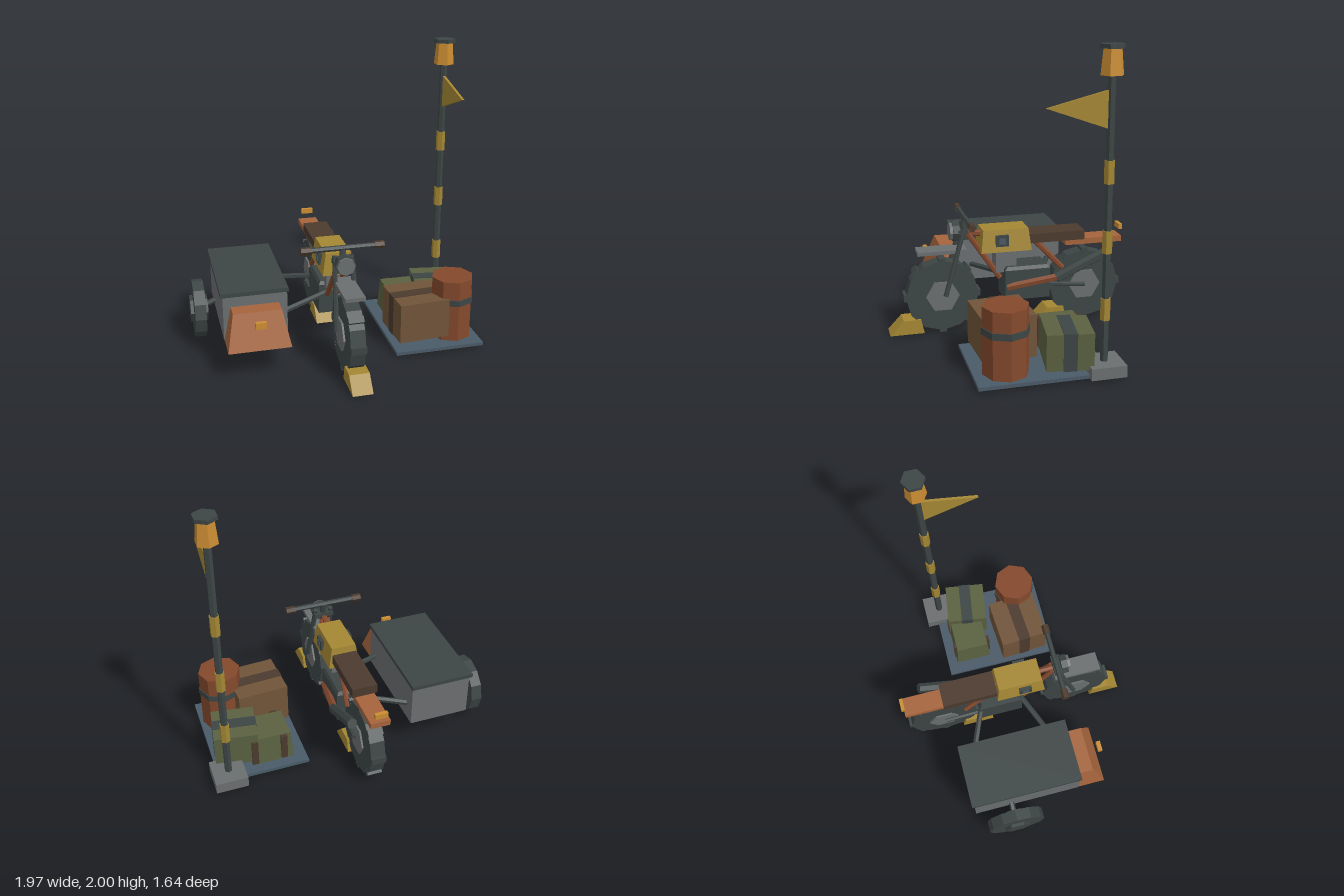
import * as THREE from 'three';

const colours = {
  darkSteel: 0x3d4545, greySteel: 0x6b6e70, yellow: 0xa48734, copper: 0xa5643c, rust: 0x84492c,
  brown: 0x705439, darkBrown: 0x4c3a2e, green: 0x5a6140, slate: 0x4a5a68, orange: 0xca8c32,
};
const mat = {};
for (const [name, color] of Object.entries(colours)) {
  mat[name] = new THREE.MeshStandardMaterial({ color });
  mat[name].name = name;
}

// Faceted mesh
function add(parent, name, geo, material, x = 0, y = 0, z = 0) {
  const g = geo.index ? geo.toNonIndexed() : geo;
  g.computeVertexNormals();
  const m = new THREE.Mesh(g, mat[material]);
  m.name = name;
  m.position.set(x, y, z);
  parent.add(m);
  return m;
}

// Box given by its limits
function block(parent, name, material, x0, x1, y0, y1, z0, z1) {
  return add(parent, name, new THREE.BoxGeometry(x1 - x0, y1 - y0, z1 - z0), material,
    (x0 + x1) / 2, (y0 + y1) / 2, (z0 + z1) / 2);
}

// Tapered box: bottom and top rectangles as [x0, x1, z0, z1]
function taper(parent, name, material, y0, y1, bottom, top) {
  const g = new THREE.BoxGeometry(1, 1, 1), p = g.attributes.position;
  for (let i = 0; i < p.count; i++) {
    const r = p.getY(i) > 0 ? top : bottom;
    p.setXYZ(i, p.getX(i) < 0 ? r[0] : r[1], p.getY(i) > 0 ? y1 : y0, p.getZ(i) < 0 ? r[2] : r[3]);
  }
  return add(parent, name, g, material);
}

// Straight rod between two points
function rod(parent, name, material, a, b, r, sides = 6) {
  const from = new THREE.Vector3(...a), to = new THREE.Vector3(...b);
  const m = add(parent, name, new THREE.CylinderGeometry(r, r, from.distanceTo(to), sides), material);
  m.position.copy(from).add(to).multiplyScalar(0.5);
  m.quaternion.setFromUnitVectors(new THREE.Vector3(0, 1, 0), to.sub(from).normalize());
  return m;
}

function drum(parent, name, material, rTop, rBottom, y0, y1, sides, x = 0, z = 0) {
  return add(parent, name, new THREE.CylinderGeometry(rTop, rBottom, y1 - y0, sides), material, x, (y0 + y1) / 2, z);
}

// Wheel with its axle along x
function wheel(parent, name, x, y, z, r, width, hubR, hubWidth, hubColour, knobs) {
  const g = new THREE.Group();
  g.name = name;
  g.position.set(x, y, z);
  parent.add(g);
  add(g, 'tyre', new THREE.CylinderGeometry(r, r, width, 12).rotateZ(Math.PI / 2), 'darkSteel');
  add(g, 'hub', new THREE.CylinderGeometry(hubR, hubR, hubWidth, 6).rotateZ(Math.PI / 2), hubColour);
  for (let i = 0; i < knobs; i++) {
    const a = i / knobs * Math.PI * 2;
    const k = add(g, 'treadKnob', new THREE.BoxGeometry(width * 1.02, 0.05, 0.045), 'darkSteel',
      0, -Math.cos(a) * (r - 0.012), Math.sin(a) * (r - 0.012));
    k.rotation.x = -a;
  }
}

function buildBike(root) {
  const bike = new THREE.Group();
  bike.name = 'motorcycle';
  bike.position.x = -0.025;
  root.add(bike);

  // Wheels and their chocks
  for (const [name, z] of [['front', 0.457], ['rear', -0.543]]) {
    wheel(bike, name + 'Wheel', 0, 0.265, z, 0.248, 0.1, 0.114, 0.125, 'greySteel', 8);
    taper(bike, name + 'Chock', 'yellow', 0.015, 0.113,
      [-0.067, 0.067, z + 0.13, z + 0.362], [-0.067, 0.067, z + 0.152, z + 0.27]);
  }

  // Fork, fender, headlight and handlebar
  for (const s of [-1, 1])
    rod(bike, 'forkLeg', 'darkSteel', [s * 0.077, 0.27, 0.44], [s * 0.055, 0.745, 0.302], 0.017);
  block(bike, 'frontFender', 'greySteel', -0.066, 0.066, 0.56, 0.585, 0.29, 0.622);
  block(bike, 'forkClamp', 'darkSteel', -0.07, 0.07, 0.69, 0.72, 0.28, 0.345);
  rod(bike, 'headlightHousing', 'darkSteel', [0, 0.7, 0.335], [0, 0.7, 0.38], 0.07, 8);
  rod(bike, 'headlightLens', 'greySteel', [0, 0.7, 0.375], [0, 0.7, 0.4], 0.06, 8);
  rod(bike, 'steeringColumn', 'darkSteel', [0, 0.66, 0.32], [0, 0.795, 0.29], 0.022);
  rod(bike, 'handlebar', 'darkSteel', [-0.25, 0.792, 0.295], [0.25, 0.792, 0.295], 0.018);
  for (const s of [-1, 1])
    rod(bike, 'handGrip', 'darkBrown', [s * 0.212, 0.792, 0.295], [s * 0.277, 0.792, 0.295], 0.026);

  // Frame tubes
  rod(bike, 'topTube', 'rust', [0, 0.685, 0.28], [0, 0.62, -0.2], 0.021);
  for (const s of [-1, 1]) {
    rod(bike, 'downTube', 'rust', [s * 0.02, 0.68, 0.275], [s * 0.045, 0.36, 0.06], 0.019);
    rod(bike, 'rearTube', 'rust', [s * 0.045, 0.61, -0.18], [s * 0.06, 0.4, -0.38], 0.019);
    rod(bike, 'swingArm', 'darkSteel', [s * 0.068, 0.3, -0.2], [s * 0.068, 0.265, -0.543], 0.016);
  }

  // Fuel tank, seat and tail
  taper(bike, 'fuelTank', 'yellow', 0.56, 0.71, [-0.11, 0.11, -0.147, 0.2], [-0.085, 0.085, -0.13, 0.182]);
  for (const s of [-1, 1]) {
    add(bike, 'tankPanel', new THREE.BoxGeometry(0.03, 0.075, 0.088), 'darkSteel', s * 0.1, 0.638, 0.057);
    add(bike, 'tankPanelInset', new THREE.BoxGeometry(0.006, 0.04, 0.045), 'slate', s * 0.117, 0.638, 0.057);
  }
  block(bike, 'seat', 'darkBrown', -0.086, 0.086, 0.6, 0.665, -0.53, -0.142);
  block(bike, 'tail', 'copper', -0.067, 0.067, 0.56, 0.6, -0.805, -0.4);
  block(bike, 'tailLight', 'orange', -0.043, 0.043, 0.64, 0.676, -0.82, -0.795);

  // Engine and exhaust
  block(bike, 'crankcase', 'darkSteel', -0.1, 0.1, 0.21, 0.42, -0.28, 0.035);
  taper(bike, 'crankcaseTop', 'darkSteel', 0.42, 0.442, [-0.1, 0.1, -0.28, 0.035], [-0.085, 0.085, -0.263, 0.018]);
  block(bike, 'engineCylinder', 'greySteel', -0.06, 0.06, 0.4, 0.56, -0.055, 0.09);
  rod(bike, 'exhaustPipe', 'rust', [0.09, 0.3, 0.02], [0.14, 0.365, -0.33], 0.027);
  rod(bike, 'muffler', 'darkSteel', [0.14, 0.355, -0.315], [0.14, 0.52, -0.675], 0.035);
}

function buildSidecar(root) {
  const car = new THREE.Group();
  car.name = 'sidecar';
  root.add(car);
  block(car, 'chest', 'greySteel', -0.81, -0.39, 0.212, 0.517, -0.485, 0.277);
  block(car, 'lid', 'darkSteel', -0.824, -0.38, 0.515, 0.543, -0.503, 0.28);
  taper(car, 'nose', 'copper', 0.218, 0.447, [-0.808, -0.4, 0.27, 0.475], [-0.76, -0.445, 0.27, 0.385]);
  block(car, 'noseLatch', 'orange', -0.632, -0.562, 0.378, 0.42, 0.465, 0.495);
  wheel(car, 'sidecarWheel', -0.928, 0.225, -0.22, 0.2, 0.076, 0.092, 0.12, 'darkSteel', 0);
  rod(car, 'axle', 'darkSteel', [-0.9, 0.235, -0.222], [-0.78, 0.285, -0.222], 0.02);
  rod(car, 'rearStrut', 'darkSteel', [-0.4, 0.325, -0.395], [-0.08, 0.362, -0.262], 0.02);
  rod(car, 'frontStrut', 'darkSteel', [-0.4, 0.325, 0.175], [-0.08, 0.362, 0.035], 0.02);
}

function buildCargo(root) {
  const cargo = new THREE.Group();
  cargo.name = 'cargo';
  root.add(cargo);
  block(cargo, 'basePlate', 'slate', 0.325, 0.945, 0.018, 0.041, -0.415, 0.41);

  // Barrel with a band
  drum(cargo, 'barrel', 'rust', 0.145, 0.145, 0.04, 0.475, 8, 0.778, 0.207);
  drum(cargo, 'barrelBand', 'darkSteel', 0.152, 0.152, 0.302, 0.345, 8, 0.778, 0.207);

  // Crates turned on the plate, each wrapped with a strap
  const crates = [
    ['brownCrate', 'brown', 'darkBrown', 0.53, 0.172, 0.355, 0.345, 0.078, 0.355, 0.065],
    ['greenCrate', 'green', 'darkSteel', 0.778, -0.178, 0.29, 0.29, 0.07, 0.303, -0.145],
  ];
  for (const [name, colour, strap, x, z, w, d, y0, y1, turn] of crates) {
    const g = new THREE.Group();
    g.name = name;
    g.position.set(x, 0, z);
    g.rotation.y = turn;
    cargo.add(g);
    block(g, 'crateBody', colour, -w / 2, w / 2, y0, y1, -d / 2, d / 2);
    block(g, 'crateStrap', strap, -w / 2 - 0.004, w / 2 + 0.004, y0 - 0.003, y1 + 0.004, -0.042, 0.042);
  }

  // Low green case with upright straps
  taper(cargo, 'lowCase', 'green', 0.041, 0.245, [0.41, 0.7, -0.343, -0.078], [0.425, 0.685, -0.328, -0.093]);
  for (const x of [0.477, 0.68])
    for (const z of [-0.338, -0.083])
      block(cargo, 'caseStrap', 'darkBrown', x - 0.022, x + 0.022, 0.05, 0.24, z - 0.012, z + 0.012);
}

function buildPole(root) {
  const pole = new THREE.Group();
  pole.name = 'signalPole';
  pole.position.set(0.878, 0, -0.383);
  root.add(pole);
  block(pole, 'poleBase', 'greySteel', -0.108, 0.108, 0.02, 0.095, -0.112, 0.112);
  drum(pole, 'poleShaft', 'darkSteel', 0.025, 0.025, 0.09, 1.83, 6);
  for (const y of [0.36, 0.78, 1.2]) drum(pole, 'poleBand', 'yellow', 0.032, 0.032, y, y + 0.138, 6);
  drum(pole, 'lantern', 'orange', 0.056, 0.07, 1.825, 1.977, 6);
  drum(pole, 'lanternCap', 'darkSteel', 0.076, 0.076, 1.975, 2, 6);

  // Pennant pointing forward
  const shape = new THREE.Shape([[-0.01, 1.745], [-0.01, 1.52], [-0.383, 1.65]].map(p => new THREE.Vector2(...p)));
  const flag = new THREE.ExtrudeGeometry(shape, { depth: 0.018, bevelEnabled: false }).translate(0, 0, -0.009);
  add(pole, 'pennant', flag.rotateY(Math.PI / 2), 'yellow');
}

export function createModel() {
  const root = new THREE.Group();
  root.name = 'motorcycleOutpost';
  buildBike(root);
  buildSidecar(root);
  buildCargo(root);
  buildPole(root);
  return root;
}
